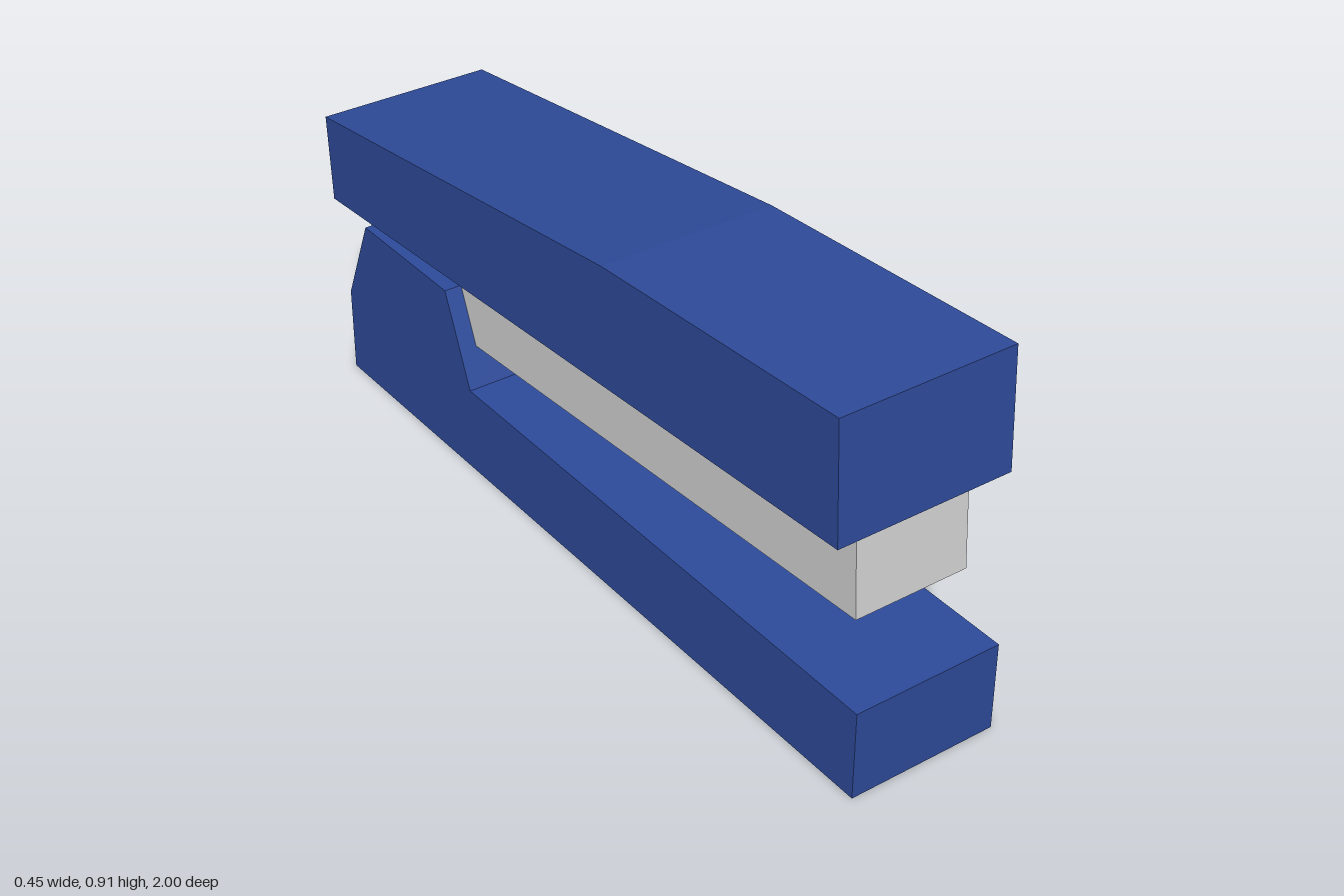
import * as THREE from 'three';

// Solid with a side profile of [z, y] points, extruded across x and centred
function profileSolid(name, points, width, material) {
  const shape = new THREE.Shape(points.map(([z, y]) => new THREE.Vector2(z, y)));
  const geometry = new THREE.ExtrudeGeometry(shape, { depth: width, bevelEnabled: false });
  geometry.translate(0, 0, -width / 2);
  geometry.rotateY(-Math.PI / 2);
  const mesh = new THREE.Mesh(geometry, material);
  mesh.name = name;
  return mesh;
}

export function createModel() {
  const blue = new THREE.MeshStandardMaterial({ color: 0x2f4c9c });
  blue.name = 'blue';
  const grey = new THREE.MeshStandardMaterial({ color: 0xd6d6d6 });
  grey.name = 'light grey';

  const stapler = new THREE.Group();
  stapler.name = 'stapler';

  // Flat base rising to the hinge block at the back
  stapler.add(profileSolid('base', [
    [1, 0], [1, 0.222], [-0.435, 0.222], [-0.53, 0.453],
    [-0.9, 0.453], [-1, 0.222], [-1, 0],
  ], 0.378, blue));

  // Tilted staple magazine, its top tucked into the handle
  stapler.add(profileSolid('magazine', [
    [0.931, 0.395], [0.916, 0.635], [-0.956, 0.525], [-0.942, 0.286],
  ], 0.29, grey));

  // Handle with a kinked top
  stapler.add(profileSolid('handle', [
    [0.955, 0.616], [0.94, 0.91], [0.17, 0.866], [-1, 0.725], [-0.987, 0.506],
  ], 0.446, blue));

  return stapler;
}
